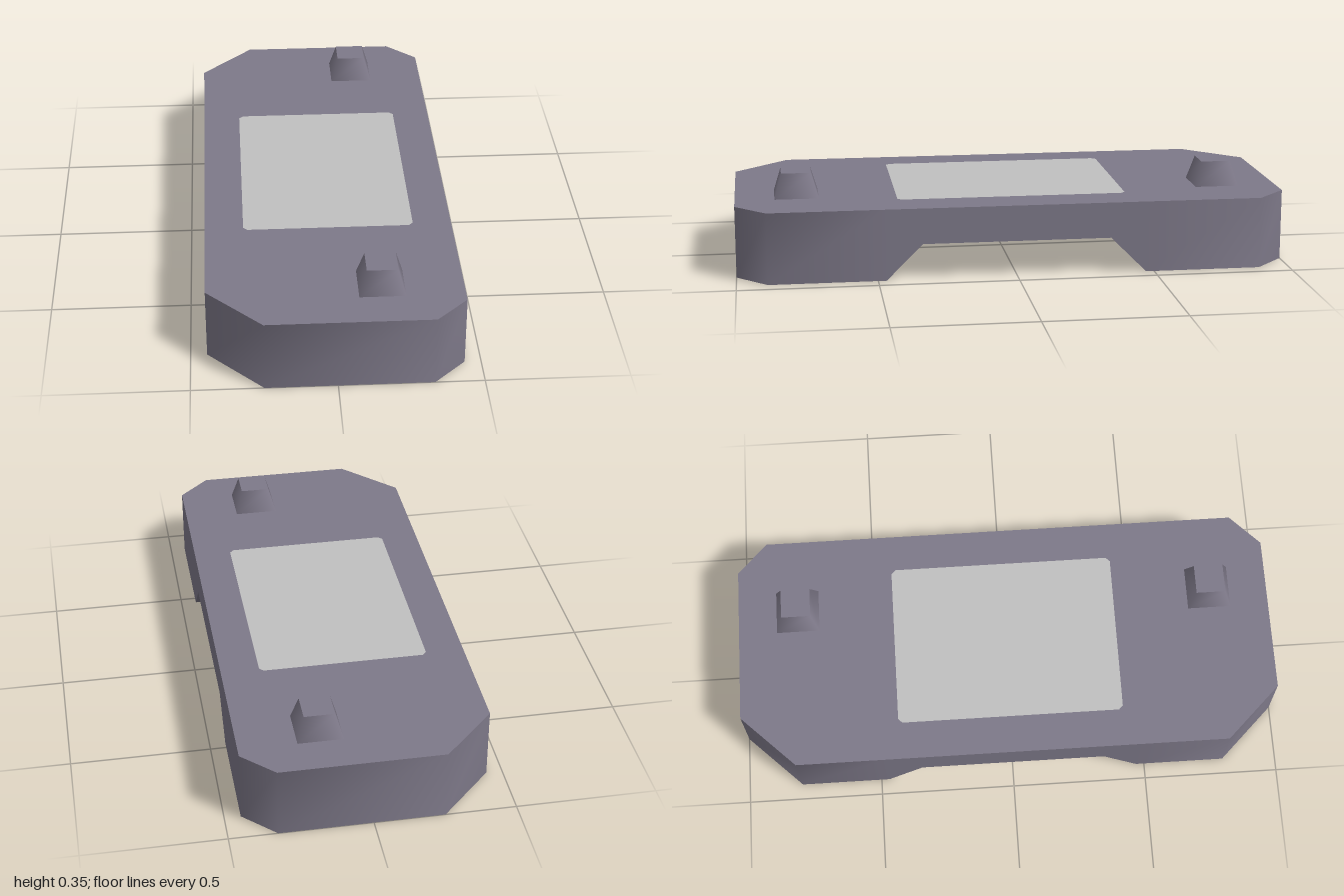
import * as THREE from 'three';
import { toCreasedNormals } from 'three/addons/utils/BufferGeometryUtils.js';

const TOP = 0.26;

// Body: an outline loop of [x, z, underside height], with an arch cut across the middle
function bodyGeometry() {
  const half = [
    [0.443, -0.34, 0.13], [0.443, -0.47, 0], [0.443, -0.89, 0], [0.33, -1, 0],
    [-0.25, -1, 0], [-0.443, -0.8, 0], [-0.443, -0.47, 0], [-0.443, -0.34, 0.13],
  ];
  const loop = [...half, ...half.map(([x, z, y]) => [x, -z, y]).reverse()];
  const upper = loop.map(([x, z]) => [x, TOP, z]);
  const lower = loop.map(([x, z, y]) => [x, y, z]);

  const positions = [];
  const fan = (pts) => {
    for (let i = 1; i < pts.length - 1; i++) positions.push(...pts[0], ...pts[i], ...pts[i + 1]);
  };
  // Top face and side walls
  fan(upper);
  loop.forEach((_, i) => {
    const j = (i + 1) % loop.length;
    fan([lower[i], lower[j], upper[j], upper[i]]);
  });
  // Underside: two feet, two slopes, arch ceiling
  const underside = [
    [1, 2, 3, 4, 5, 6], [9, 10, 11, 12, 13, 14],
    [0, 1, 6, 7], [8, 9, 14, 15], [0, 7, 8, 15],
  ];
  underside.forEach((face) => fan(face.map((i) => lower[i]).reverse()));

  const geometry = new THREE.BufferGeometry();
  geometry.setAttribute('position', new THREE.Float32BufferAttribute(positions, 3));
  return toCreasedNormals(geometry, Math.PI / 3);
}

// Thin inset plate with small clipped corners
function panelGeometry() {
  const w = 0.305, d = 0.417, c = 0.015;
  const shape = new THREE.Shape([
    [w, -d + c], [w, d - c], [w - c, d], [-w + c, d],
    [-w, d - c], [-w, -d + c], [-w + c, -d], [w - c, -d],
  ].map(([x, y]) => new THREE.Vector2(x, y)));
  return new THREE.ShapeGeometry(shape).rotateX(-Math.PI / 2);
}

export function createModel() {
  const group = new THREE.Group();
  const bodyMaterial = new THREE.MeshStandardMaterial({ color: 0x7e7989 });
  bodyMaterial.name = 'purple grey';
  const panelMaterial = new THREE.MeshStandardMaterial({ color: 0xc0c0c0 });
  panelMaterial.name = 'light grey';

  const add = (name, geometry, material, x = 0, y = 0, z = 0) => {
    const mesh = new THREE.Mesh(geometry, material);
    mesh.name = name;
    mesh.position.set(x, y, z);
    group.add(mesh);
  };

  add('body', bodyGeometry(), bodyMaterial);
  add('topPanel', panelGeometry(), panelMaterial, 0, TOP + 0.002, 0);

  // Tapered square pegs, one at each end
  const peg = new THREE.CylinderGeometry(0.054 * Math.SQRT2, 0.08 * Math.SQRT2, 0.09, 4, 1, false, Math.PI / 4);
  add('frontPeg', peg, bodyMaterial, 0.159, TOP + 0.045, 0.777);
  add('backPeg', peg, bodyMaterial, 0.159, TOP + 0.045, -0.777);

  return group;
}
